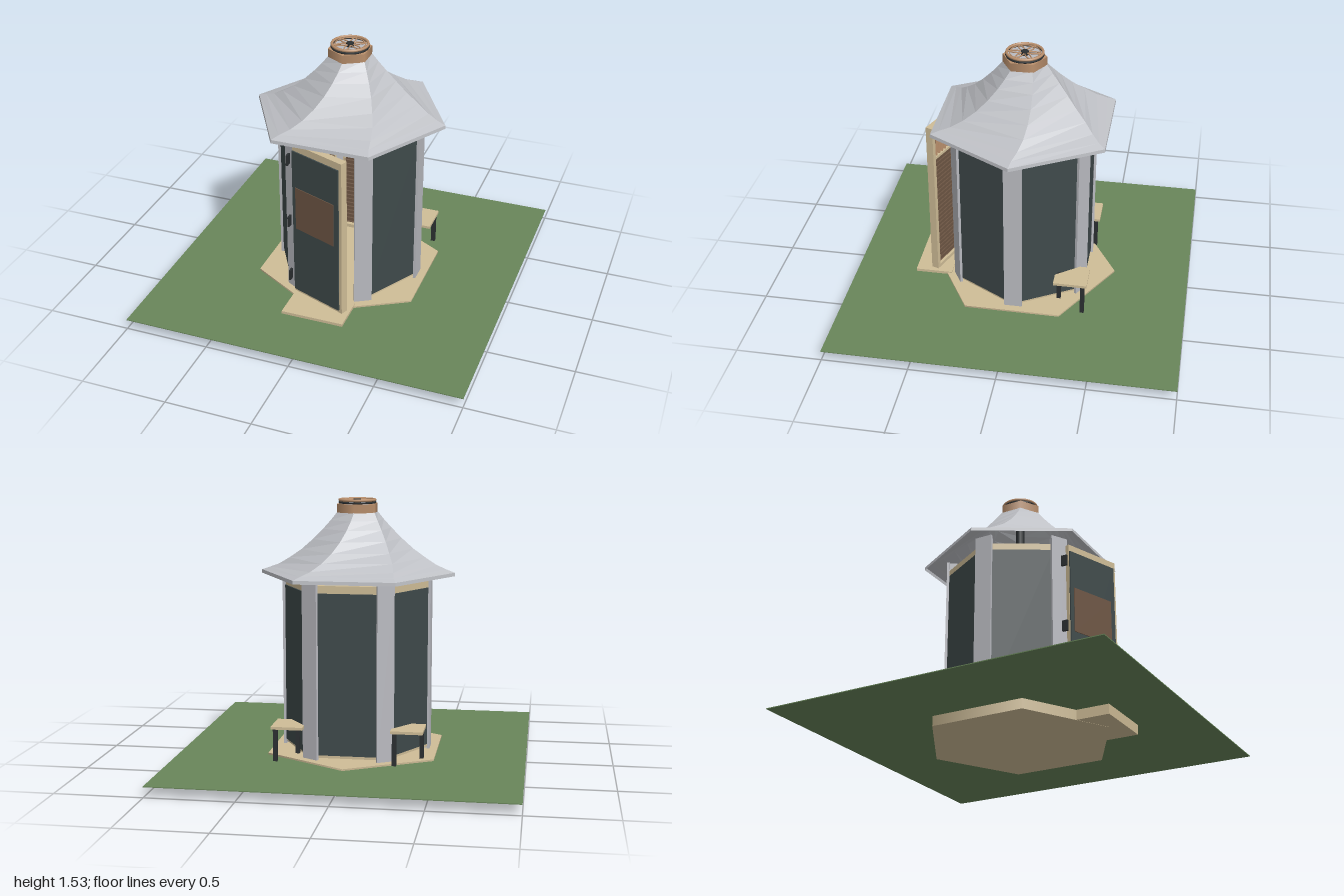
import * as THREE from 'three';

const mat = (name, color, extra = {}) => {
  const m = new THREE.MeshStandardMaterial({ color, ...extra });
  m.name = name;
  return m;
};

export function createModel() {
  const grass = mat('grass', 0x69865a);
  const tan = mat('light wood', 0xcfbd97);
  const steel = mat('roof steel', 0xbfc1c6, { side: THREE.DoubleSide, flatShading: true });
  const post = mat('post metal', 0xb9bac0);
  const slate = mat('slate cladding', 0x3f4a4b);
  const brown = mat('brown louvre', 0x6e5644);
  const copper = mat('warm wood', 0xb98f6c);
  const black = mat('black metal', 0x2b2f31);

  const root = new THREE.Group();
  root.name = 'kiosk';

  const add = (parent, name, geo, m, x = 0, y = 0, z = 0) => {
    const mesh = new THREE.Mesh(geo, m);
    mesh.name = name;
    mesh.position.set(x, y, z);
    parent.add(mesh);
    return mesh;
  };
  // Box given by its extents on each axis
  const box = (parent, name, m, x0, x1, y0, y1, z0, z1) =>
    add(parent, name, new THREE.BoxGeometry(x1 - x0, y1 - y0, z1 - z0), m,
      (x0 + x1) / 2, (y0 + y1) / 2, (z0 + z1) / 2);
  const group = (name, parent = root) => {
    const g = new THREE.Group();
    g.name = name;
    parent.add(g);
    return g;
  };

  // Lawn, plinth and entrance step
  box(root, 'lawn', grass, -1, 1, 0.058, 0.063, -1, 1);
  add(root, 'plinth', new THREE.CylinderGeometry(0.555, 0.555, 0.073, 6), tan, 0, 0.0365, 0);
  box(root, 'step', tan, -0.187, 0.185, 0.001, 0.08, 0.42, 0.64);

  // Framed panel: outer face on z = 0, starting at x = 0
  const T = 0.045, Y0 = 0.083, Y1 = 1.07;
  function panel(name, w, skinEnd) {
    const g = group(name);
    const f = 0.025;
    box(g, 'stile', tan, 0, f, Y0, Y1, -T, 0);
    box(g, 'stile', tan, w - f, w, Y0, Y1, -T, 0);
    box(g, 'bottomRail', tan, f, w - f, Y0, 0.105, -T, 0);
    box(g, 'topRail', tan, f, w - f, 1.025, Y1, -T, 0);
    box(g, 'midRail', tan, f, w - f, 0.855, 0.87, -T, 0);
    box(g, 'cladding', slate, 0.003, skinEnd, 0.1, 1.027, 0, 0.008);
    box(g, 'backing', brown, f, w - f, 0.105, 1.025, -0.02, 0);
    // Horizontal louvres below, slanted battens above
    for (let y = 0.12; y < 0.85; y += 0.028) {
      const s = add(g, 'louvre', new THREE.BoxGeometry(w - 2 * f, 0.006, 0.026), brown, w / 2, y, -0.03);
      s.rotation.x = 0.5;
    }
    for (let x = 0.06; x < w - 0.05; x += 0.03) {
      const s = add(g, 'batten', new THREE.BoxGeometry(0.008, 0.155, 0.02), copper, x, 0.947, -0.032);
      s.rotation.z = 0.3;
    }
    return g;
  }

  // Five fixed walls
  for (let i = 1; i < 6; i++) {
    const side = group('wallSide');
    side.rotation.y = i * Math.PI / 3;
    const p = panel('wall', 0.37, 0.367);
    p.position.set(-0.185, 0, 0.38);
    side.add(p);
  }

  // Doorway frame and open door
  for (const s of [-1, 1])
    add(root, 'jamb', new THREE.BoxGeometry(0.03, 0.99, 0.04), tan, s * 0.175, 0.575, 0.35);
  box(root, 'lintel', tan, -0.16, 0.16, 1.03, 1.07, 0.33, 0.37);
  const door = panel('door', 0.364, 0.345);
  door.position.set(-0.19, 0, 0.42);
  door.rotation.y = -0.365;
  box(door, 'notice', brown, 0.028, 0.312, 0.53, 0.8, 0.008, 0.012);
  for (const y of [0.18, 0.55, 0.955])
    box(root, 'hinge', black, -0.228, -0.216, y - 0.032, y + 0.032, 0.39, 0.425);

  // Corner posts: a wide cover plate over a narrower core
  for (let i = 0; i < 6; i++) {
    const g = group('cornerPost');
    g.rotation.y = Math.PI / 6 + i * Math.PI / 3;
    box(g, 'coverPlate', post, -0.052, 0.052, 0.073, 1.115, 0.42, 0.435);
    box(g, 'core', post, -0.03, 0.03, 0.073, 1.12, 0.375, 0.42);
  }

  // Twisted flared roof: hexagonal rings as [height, radius, twist in degrees]
  const rings = [
    [1.09, 0.57, 0], [1.11, 0.568, 0], [1.127, 0.52, -1], [1.15, 0.46, -4], [1.19, 0.395, -8],
    [1.24, 0.325, -12], [1.3, 0.26, -16.5], [1.36, 0.203, -21], [1.41, 0.16, -25], [1.46, 0.122, -30],
  ];
  const pos = [], index = [];
  for (const [y, r, tw] of rings)
    for (let i = 0; i < 6; i++) {
      const a = (i * 60 + tw) * Math.PI / 180;
      pos.push(r * Math.cos(a), y, r * Math.sin(a));
    }
  for (let k = 0; k < rings.length - 1; k++)
    for (let i = 0; i < 6; i++) {
      const j = (i + 1) % 6, b = k * 6, t = b + 6;
      index.push(b + i, t + i, b + j, b + j, t + i, t + j);
    }
  const roofGeo = new THREE.BufferGeometry();
  roofGeo.setAttribute('position', new THREE.Float32BufferAttribute(pos, 3));
  roofGeo.setIndex(index);
  roofGeo.computeVertexNormals();
  add(root, 'roof', roofGeo, steel);
  add(root, 'ventPipe', new THREE.CylinderGeometry(0.025, 0.025, 0.4, 12), black, 0, 1.26, 0);

  // Collar and rosette on top
  const crown = group('crown');
  add(crown, 'collar', new THREE.CylinderGeometry(0.126, 0.126, 0.05, 6), copper, 0, 1.478, 0);
  add(crown, 'capDisc', new THREE.CylinderGeometry(0.1, 0.1, 0.006, 36), post, 0, 1.505, 0);
  const flat = (name, geo, m, x, y, z) => {
    geo.rotateX(Math.PI / 2);
    return add(crown, name, geo, m, x, y, z);
  };
  flat('gasket', new THREE.TorusGeometry(0.104, 0.006, 6, 36), black, 0, 1.51, 0);
  flat('outerRing', new THREE.TorusGeometry(0.102, 0.008, 8, 48), copper, 0, 1.524, 0);
  flat('innerRing', new THREE.TorusGeometry(0.086, 0.003, 6, 36), copper, 0, 1.522, 0);
  // Six arcs through the centre form the petals
  const R = 0.096;
  for (let i = 0; i < 6; i++) {
    const a = Math.PI / 6 + i * Math.PI / 3;
    const arc = new THREE.TorusGeometry(R, 0.004, 6, 16, Math.PI * 2 / 3);
    arc.rotateZ(a + Math.PI * 2 / 3);
    flat('petalArc', arc, copper, R * Math.cos(a), 1.522, R * Math.sin(a));
  }
  add(crown, 'hub', new THREE.CylinderGeometry(0.022, 0.022, 0.022, 12), black, 0, 1.519, 0);

  // Two corner seats fitted against the rear walls
  const outline = [[0.432, -0.43], [0.432, -0.235], [0.35, -0.235], [0.25, -0.37], [0.25, -0.43]];
  const seatLegs = { '1': [[0.41, -0.405], [0.31, -0.255]], '-1': [[0.41, -0.255], [0.27, -0.405]] };
  for (const s of [1, -1]) {
    const g = group(s > 0 ? 'leftSeat' : 'rightSeat');
    const shape = new THREE.Shape(outline.map(([x, z]) => new THREE.Vector2(s * x, z)));
    const geo = new THREE.ExtrudeGeometry(shape, { depth: 0.016, bevelEnabled: false });
    geo.rotateX(Math.PI / 2);
    add(g, 'seatBoard', geo, tan, 0, 0.267, 0);
    for (const [x, z] of seatLegs[s])
      add(g, 'seatLeg', new THREE.BoxGeometry(0.024, 0.19, 0.024), black, s * x, 0.157, z);
  }
  return root;
}
